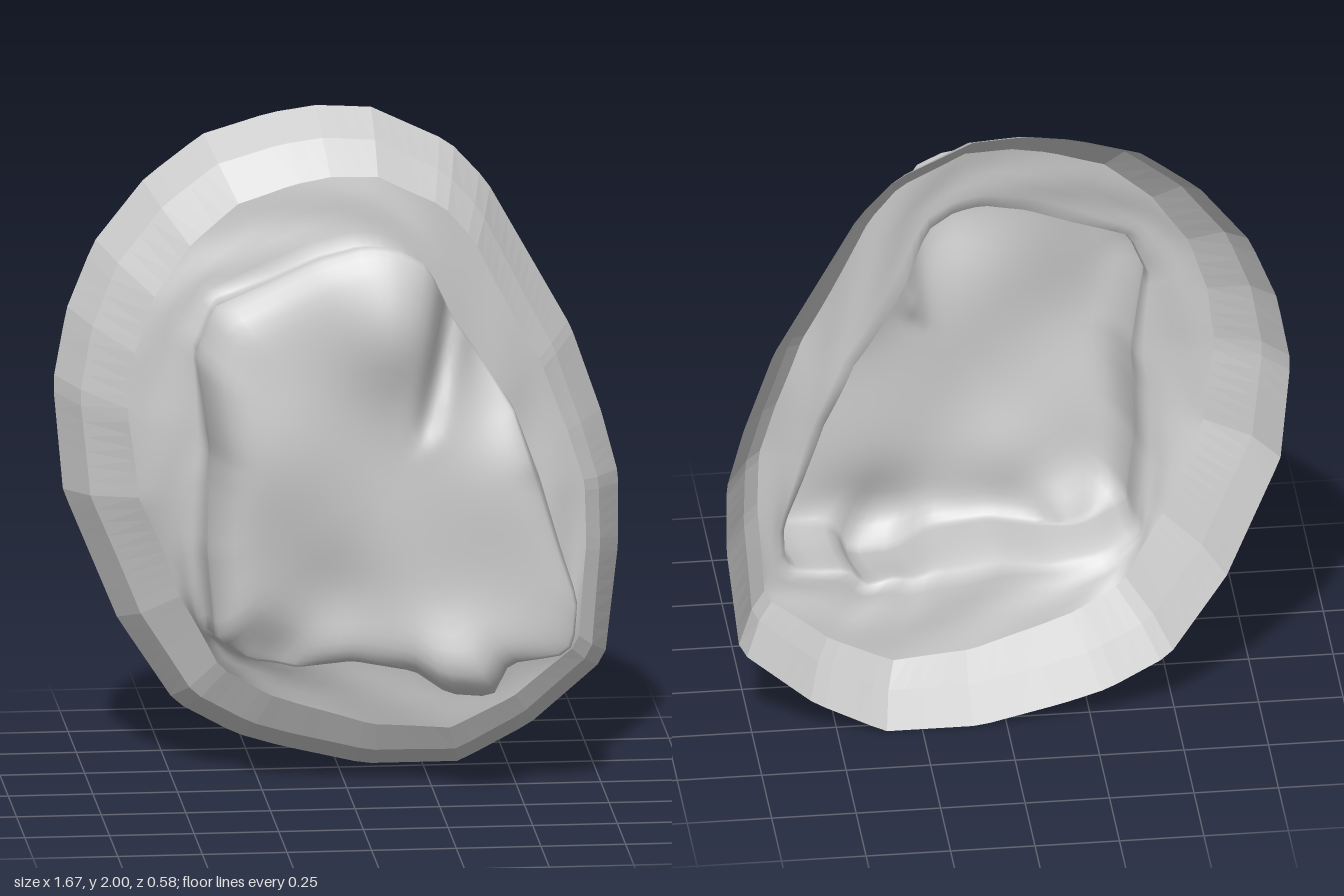
import * as THREE from 'three';

const N = 120, CX = 0.1, CY = 0.95;
// outline of the backing rim and of the boulder, seen from the front
const RIM = [[-0.06, 2], [0.1, 1.99], [0.33, 1.88], [0.44, 1.76], [0.69, 1.31], [0.78, 1.05], [0.83, 0.86], [0.83, 0.65],
  [0.79, 0.3], [0.57, 0.11], [0.36, 0], [0.08, 0], [-0.17, 0.06], [-0.3, 0.1], [-0.48, 0.2], [-0.65, 0.46], [-0.81, 0.85],
  [-0.84, 1.18], [-0.8, 1.4], [-0.72, 1.6], [-0.57, 1.79], [-0.4, 1.92], [-0.2, 1.98]];
const ROCK = [[0.04, 1.69], [0.13, 1.68], [0.22, 1.63], [0.3, 1.45], [0.36, 1.36], [0.48, 1.17], [0.55, 0.95], [0.61, 0.75],
  [0.66, 0.6], [0.65, 0.47], [0.61, 0.44], [0.46, 0.42], [0.41, 0.32], [0.28, 0.33], [0.18, 0.4], [0, 0.43], [-0.16, 0.41],
  [-0.3, 0.43], [-0.4, 0.5], [-0.42, 0.75], [-0.41, 1.05], [-0.46, 1.35], [-0.41, 1.5], [-0.24, 1.58], [-0.1, 1.65]];

// distance from the centre to an outline along each of N directions
function radii(outline) {
  return Array.from({ length: N }, (_, i) => {
    const a = i / N * Math.PI * 2, c = Math.cos(a), s = Math.sin(a);
    let best = 0;
    outline.forEach(([x1, y1], k) => {
      const [x2, y2] = outline[(k + 1) % outline.length];
      const px = x1 - CX, py = y1 - CY, ex = x2 - x1, ey = y2 - y1;
      const d = c * ey - s * ex;
      if (Math.abs(d) < 1e-9) return;
      const r = (px * ey - py * ex) / d, u = (px * s - py * c) / d;
      if (u >= -1e-6 && u <= 1 + 1e-6 && r > best) best = r;
    });
    return best;
  });
}

// skin a list of rings, outermost first; each ring is (i, cos, sin) => [radius, z]
function loft(rings) {
  const pos = [], idx = [];
  rings.forEach((ring, j) => {
    for (let i = 0; i < N; i++) {
      const a = i / N * Math.PI * 2, [r, z] = ring(i, Math.cos(a), Math.sin(a));
      pos.push(CX + r * Math.cos(a), CY + r * Math.sin(a), z);
      if (j === 0) continue;
      const o = (j - 1) * N, p = j * N, n = (i + 1) % N;
      idx.push(o + i, o + n, p + i, o + n, p + n, p + i);
    }
  });
  const g = new THREE.BufferGeometry();
  g.setAttribute('position', new THREE.Float32BufferAttribute(pos, 3));
  g.setIndex(idx);
  g.computeVertexNormals();
  return g;
}

const bump = (x, y, cx, cy, w, h, tall = w) => h * Math.exp(-(((x - cx) / w) ** 2) - ((y - cy) / tall) ** 2);

// height of the boulder's uneven front face
function faceZ(x, y) {
  let z = 0.235 + bump(x, y, 0.13, 1.43, 0.17, 0.055) + bump(x, y, 0.31, 0.4, 0.16, 0.065)
    + bump(x, y, -0.22, 1.05, 0.22, 0.025) + bump(x, y, -0.05, 0.62, 0.16, -0.04)
    + bump(x, y, -0.25, 0.43, 0.12, -0.08) + 0.008 * Math.sin(9 * x + 4) * Math.sin(7 * y);
  // right shoulder falling away towards the top
  z += bump(x, y, 0.43, 1.42, 0.16, -0.19, 0.27);
  // slanting cleft beside the upper block
  const t = THREE.MathUtils.clamp((1.5 - y) / 0.35, 0, 1);
  z += bump(x, y, 0.3 - 0.08 * t, 1.5 - 0.35 * t, 0.04, -0.07 * (1 - 0.6 * t));
  return z;
}

export function createModel() {
  const group = new THREE.Group();
  const rim = radii(RIM), rock = radii(ROCK);
  const add = (name, rings, flatShading) => {
    const mesh = new THREE.Mesh(loft(rings),
      new THREE.MeshStandardMaterial({ color: 0xcccccc, side: THREE.DoubleSide, flatShading }));
    mesh.name = name;
    group.add(mesh);
  };

  // bevelled rim, open at the back
  const shoulder = (i, c, s) => [rim[i] - 0.16 + 0.045 * c, -0.1 - 0.025 * c + 0.02 * s];
  add('rim', [i => [rim[i], -0.29], i => [rim[i] - 0.07, -0.17], shoulder], true);

  // foot of the boulder: tucked in under the top and under the bulge at the bottom
  const foot = (i, c, s) => {
    const tuck = s > 0 ? 0.065 * s : 0.07 * Math.exp(-(((c - 0.36) / 0.15) ** 2));
    return [rock[i] - 0.02 - 0.035 * c - tuck, -0.065 - 0.045 * c + 0.01 * s];
  };

  // ledge rising gently to the flared foot
  const FLARE = 0.025;
  const ledge = [0, 0.2, 0.4, 0.6, 0.8].map(t => (i, c, s) => {
    const [r1, z1] = shoulder(i, c, s), [r2, z2] = foot(i, c, s);
    const wave = 0.006 * Math.sin(i * 0.42 + t * 5) * Math.sin(t * Math.PI);
    return [r1 + (r2 + FLARE - r1) * t, z1 + (z2 - z1) * t + wave];
  });

  // slightly bulging wall, rounded edge and uneven face
  const edge = (i, c, s) => {
    const z = 0.13 + 0.06 * c + 0.06 * Math.abs(s);
    return [rock[i], Math.min(z, faceZ(CX + rock[i] * c, CY + rock[i] * s) - 0.025)];
  };
  const wall = [0, 0.08, 0.2, 0.4, 0.6, 0.8, 0.92, 1].map(t => (i, c, s) => {
    const [r1, z1] = foot(i, c, s), [r2, z2] = edge(i, c, s);
    const bulge = 0.035 * Math.max(c, 0) * Math.sin(t * Math.PI);
    return [r1 + (r2 - r1) * t + FLARE * (1 - t) ** 6 + bulge, z1 + (z2 - z1) * t];
  });
  const face = [0.985, 0.96, 0.92, 0.87, 0.81, 0.75, 0.68, 0.6, 0.52, 0.44, 0.35, 0.25, 0.15, 0.07, 0].map(t => (i, c, s) => {
    const r = rock[i] * t, z = faceZ(CX + r * c, CY + r * s);
    return [r, z + (edge(i, c, s)[1] - z) * t ** 14];
  });
  add('boulder', [...ledge, ...wall, ...face], false);
  return group;
}
